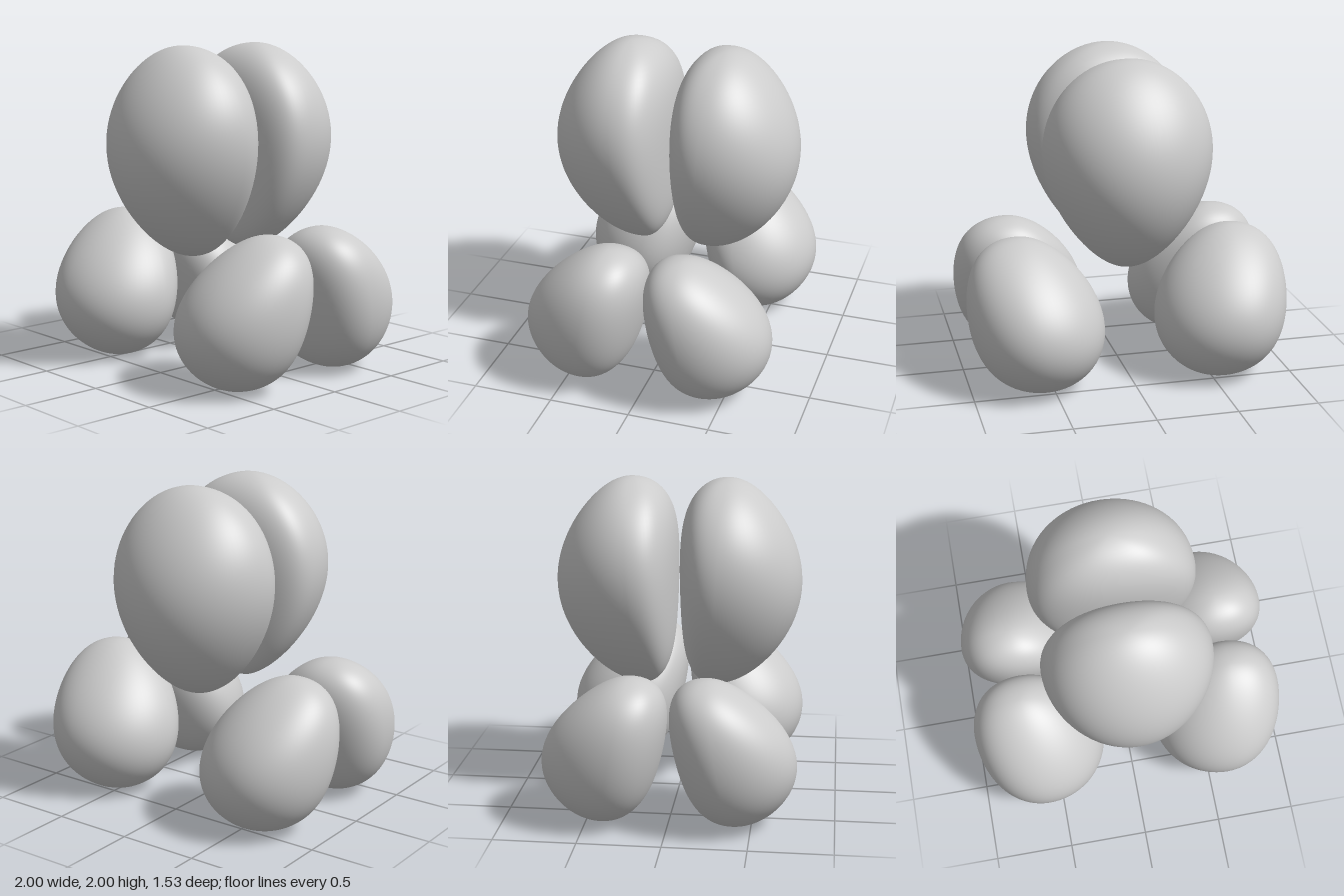
import * as THREE from 'three';
import { mergeVertices } from 'three/addons/utils/BufferGeometryUtils.js';

// quadratic a + b*c + d*c^2, where c runs from -1 (bottom) to 1 (top)
const quad = ([a, b, d], c) => a + b * c + d * c * c;

// each lobe: height range, slanted axis, and radii towards and away from the centre
const UPPER = {
  y: [0.7, 2],
  axisX: [0, 0, 0], axisZ: [0.26, 0.04, 0],
  xIn: [0.51, 0.09, -0.055], xOut: [0.51, 0.09, -0.055],
  zIn: [0.248, 0.055, 0.1], zOut: [0.5, -0.03, -0.09],
  flat: 0.3,
};
const LOWER = {
  y: [0, 0.92],
  axisX: [0.615, 0.055, 0], axisZ: [0.315, -0.085, 0],
  xIn: [0.437, -0.05, -0.03], xOut: [0.385, -0.02, 0.06],
  zIn: [0.28, 0.01, 0.075], zOut: [0.44, -0.04, -0.09],
  flat: 0.12,
};

// sphere reshaped into an egg with a flatter inner side; sx and sz pick the quadrant
function lobeGeometry(p, sx, sz) {
  const sphere = new THREE.SphereGeometry(1, 72, 48);
  sphere.deleteAttribute('uv');
  sphere.deleteAttribute('normal');
  const geo = mergeVertices(sphere, 1e-5);
  const pos = geo.attributes.position;
  const mid = (p.y[0] + p.y[1]) / 2, half = (p.y[1] - p.y[0]) / 2;
  for (let i = 0; i < pos.count; i++) {
    const nx = pos.getX(i) * sx, c = pos.getY(i), nz = pos.getZ(i) * sz;
    const ring = Math.max(1 - c * c, 1e-9);
    const bulge = nz < 0 ? 1 + p.flat * nz * nz / ring : 1;
    const x = quad(p.axisX, c) + nx * bulge * quad(nx < 0 ? p.xIn : p.xOut, c);
    const z = quad(p.axisZ, c) + nz * quad(nz < 0 ? p.zIn : p.zOut, c);
    pos.setXYZ(i, x * sx, mid + half * c, z * sz);
  }
  geo.computeVertexNormals();
  return geo;
}

export function createModel() {
  const group = new THREE.Group();
  const material = new THREE.MeshStandardMaterial({ color: 0xcccccc });
  const add = (name, p, sx, sz) => {
    const mesh = new THREE.Mesh(lobeGeometry(p, sx, sz), material);
    mesh.name = name;
    group.add(mesh);
  };
  for (const [end, sz] of [['front', 1], ['back', -1]]) {
    add(`${end}UpperLobe`, UPPER, 1, sz);
    add(`${end}LowerLeftLobe`, LOWER, 1, sz);
    add(`${end}LowerRightLobe`, LOWER, -1, sz);
  }
  return group;
}
